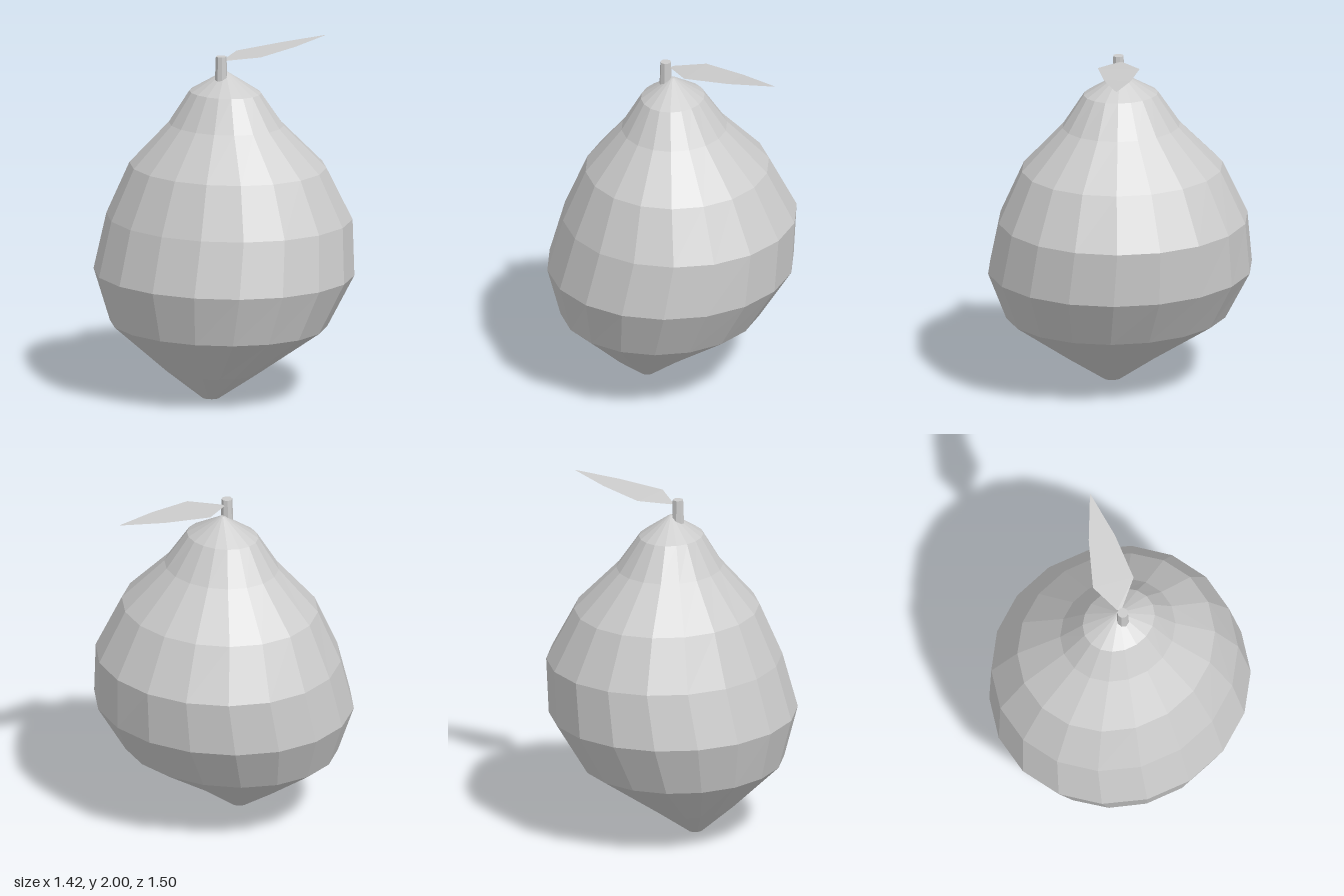
import * as THREE from 'three';

const grey = (side = THREE.FrontSide) =>
  new THREE.MeshStandardMaterial({ color: 0xcccccc, flatShading: true, side });

// Body cross-sections from bottom to top: [height, x centre, x radius, z radius]
const RINGS = [
  [0, -0.145, 0.042, 0.05],
  [0.16, -0.13, 0.24, 0.285],
  [0.42, -0.067, 0.572, 0.64],
  [0.71, -0.012, 0.703, 0.762],
  [1.025, 0.042, 0.667, 0.718],
  [1.325, 0.027, 0.522, 0.58],
  [1.57, 0.01, 0.3, 0.34],
  [1.757, 0.001, 0.18, 0.216],
  [1.875, 0, 0.012, 0.014],
];

// Unit cylinder whose rows are moved onto the cross-sections
function makeBody() {
  const rows = RINGS.length - 1;
  const geo = new THREE.CylinderGeometry(1, 1, 1, 18, rows, false, Math.PI / 2);
  const pos = geo.attributes.position;
  for (let i = 0; i < pos.count; i++) {
    const [y, cx, rx, rz] = RINGS[Math.round((pos.getY(i) + 0.5) * rows)];
    pos.setXYZ(i, cx + pos.getX(i) * rx, y, pos.getZ(i) * rz);
  }
  geo.computeVertexNormals();
  return geo;
}

// Thin leaf: pairs of edge points from base to tip
function makeLeaf() {
  const pairs = [
    [[0, 1.942, -0.012], [-0.012, 1.94, 0.01]],
    [[0.185, 1.956, -0.052], [0.105, 1.96, 0.173]],
    [[0.43, 1.977, 0.085], [0.37, 1.979, 0.225]],
    [[0.65, 2, 0.243], [0.645, 2, 0.245]],
  ];
  const index = [];
  for (let i = 0; i < pairs.length - 1; i++) {
    const a = i * 2;
    index.push(a, a + 1, a + 3, a, a + 3, a + 2);
  }
  const geo = new THREE.BufferGeometry();
  geo.setAttribute('position', new THREE.Float32BufferAttribute(pairs.flat(2), 3));
  geo.setIndex(index);
  geo.computeVertexNormals();
  return geo;
}

export function createModel() {
  const model = new THREE.Group();
  model.name = 'fruit';
  const add = (name, geo, mat) => {
    const mesh = new THREE.Mesh(geo, mat);
    mesh.name = name;
    model.add(mesh);
    return mesh;
  };

  add('body', makeBody(), grey());

  // Short tapered stem, sunk into the shoulder
  const stem = add('stem', new THREE.CylinderGeometry(0.031, 0.037, 0.17, 8), grey());
  stem.position.set(-0.04, 1.885, 0);

  add('leaf', makeLeaf(), grey(THREE.DoubleSide));
  return model;
}
